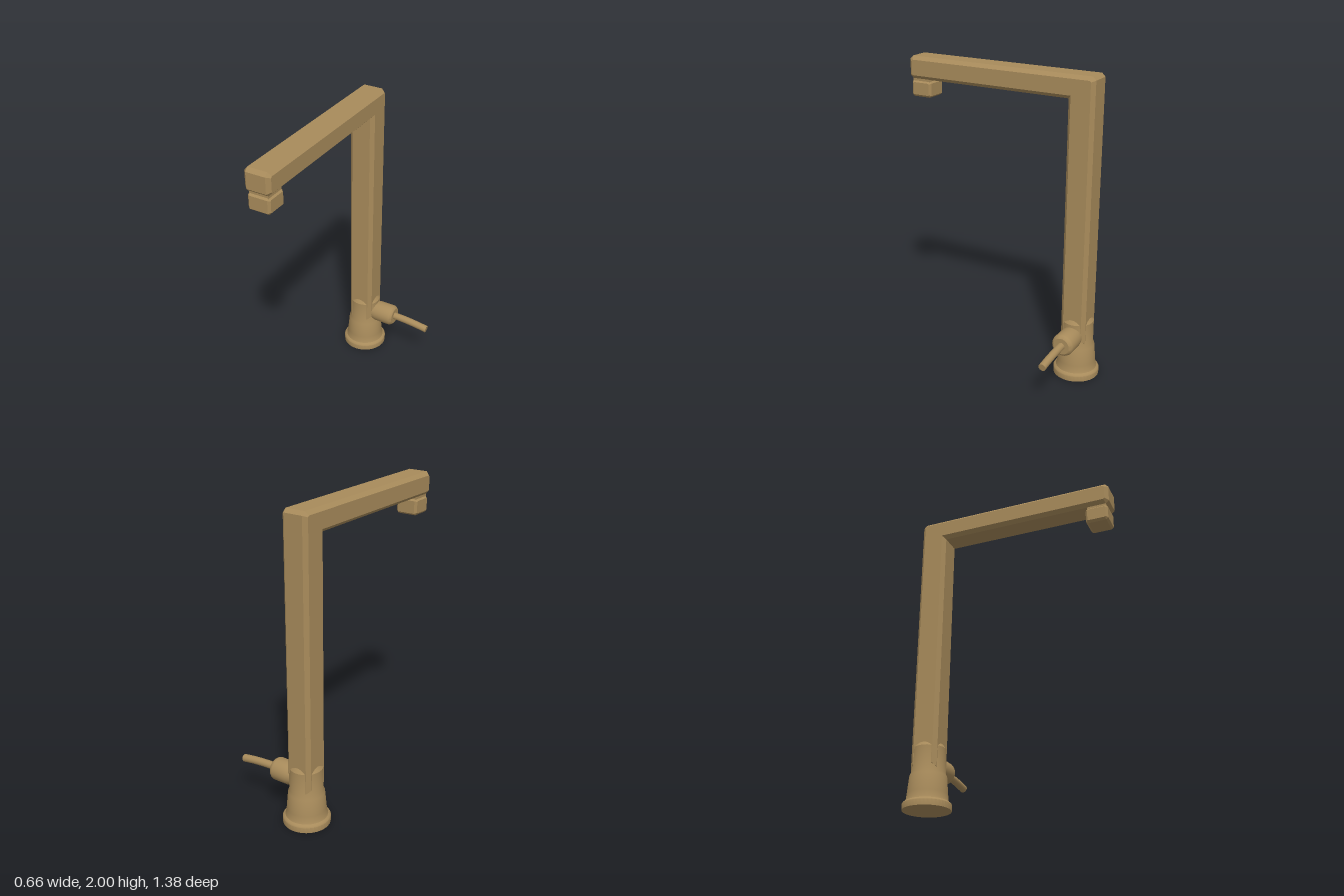
import * as THREE from 'three';
import { toCreasedNormals } from 'three/addons/utils/BufferGeometryUtils.js';

const AXIS_X = -0.179, AXIS_Z = -0.54;

// Side outline given as [z, y] points, extruded along x with chamfered edges
function chamferedSolid(points, width, chamfer) {
  const shape = new THREE.Shape(points.map(([z, y]) => new THREE.Vector2(z, y)));
  const geometry = new THREE.ExtrudeGeometry(shape, {
    depth: width - 2 * chamfer, steps: 1, bevelEnabled: true, bevelSegments: 1,
    bevelThickness: chamfer, bevelSize: chamfer, bevelOffset: -chamfer,
  });
  geometry.translate(0, 0, -(width - 2 * chamfer) / 2);
  geometry.rotateY(-Math.PI / 2);
  return geometry;
}

// Turned solid from [radius, height] points, with sharp edges kept
function turned(points, segments = 40) {
  const profile = points.map(([r, y]) => new THREE.Vector2(r, y));
  return toCreasedNormals(new THREE.LatheGeometry(profile, segments), 0.6);
}

export function createModel() {
  const brass = new THREE.MeshStandardMaterial({ color: 0xa88b5b });
  brass.name = 'brushed brass';

  const model = new THREE.Group();
  model.name = 'kitchenTap';
  const add = (name, geometry, x = 0, y = 0, z = 0) => {
    const mesh = new THREE.Mesh(geometry, brass);
    mesh.name = name;
    mesh.position.set(x, y, z);
    model.add(mesh);
    return mesh;
  };

  // Flared foot with a collar whose conical top meets the square post
  add('base', turned([
    [0, 0], [0.15, 0], [0.151, 0.036], [0.146, 0.044], [0.134, 0.052], [0.129, 0.065],
    [0.125, 0.1], [0.115, 0.212], [0.106, 0.232], [0.105, 0.385], [0.082, 0.418], [0, 0.418],
  ]), AXIS_X, 0, AXIS_Z);

  // Upright post and horizontal arm in one bent bar
  add('postAndArm', chamferedSolid([
    [-0.627, 0.25], [-0.453, 0.25], [-0.453, 1.853], [0.672, 1.853], [0.694, 1.873],
    [0.694, 1.978], [0.672, 2], [-0.605, 2], [-0.627, 1.978],
  ], 0.174, 0.023), AXIS_X);

  // Outlet block below the end of the arm, on a short neck
  add('outletNeck', new THREE.BoxGeometry(0.13, 0.05, 0.126), AXIS_X, 1.845, 0.61);
  add('outlet', chamferedSolid([
    [0.55, 1.735], [0.67, 1.735], [0.684, 1.747], [0.684, 1.829],
    [0.67, 1.843], [0.55, 1.843], [0.536, 1.829], [0.536, 1.747],
  ], 0.15, 0.014), AXIS_X);

  // Valve housing on the side of the collar
  const valve = add('valveHousing', turned([
    [0, -0.1], [0.067, -0.1], [0.073, -0.066], [0.074, 0.036], [0.071, 0.048],
    [0.062, 0.06], [0.055, 0.065], [0, 0.065],
  ]), 0, 0.295, -0.543);
  valve.rotation.z = -Math.PI / 2;

  // Gently drooping lever with a closed tip
  const path = new THREE.QuadraticBezierCurve3(
    new THREE.Vector3(0.04, 0.298, -0.543),
    new THREE.Vector3(0.19, 0.297, -0.543),
    new THREE.Vector3(0.321, 0.273, -0.543));
  add('lever', new THREE.TubeGeometry(path, 14, 0.025, 20));
  const tip = add('leverTip', new THREE.CircleGeometry(0.025, 20));
  tip.position.copy(path.getPoint(1));
  tip.quaternion.setFromUnitVectors(new THREE.Vector3(0, 0, 1), path.getTangent(1));

  return model;
}
